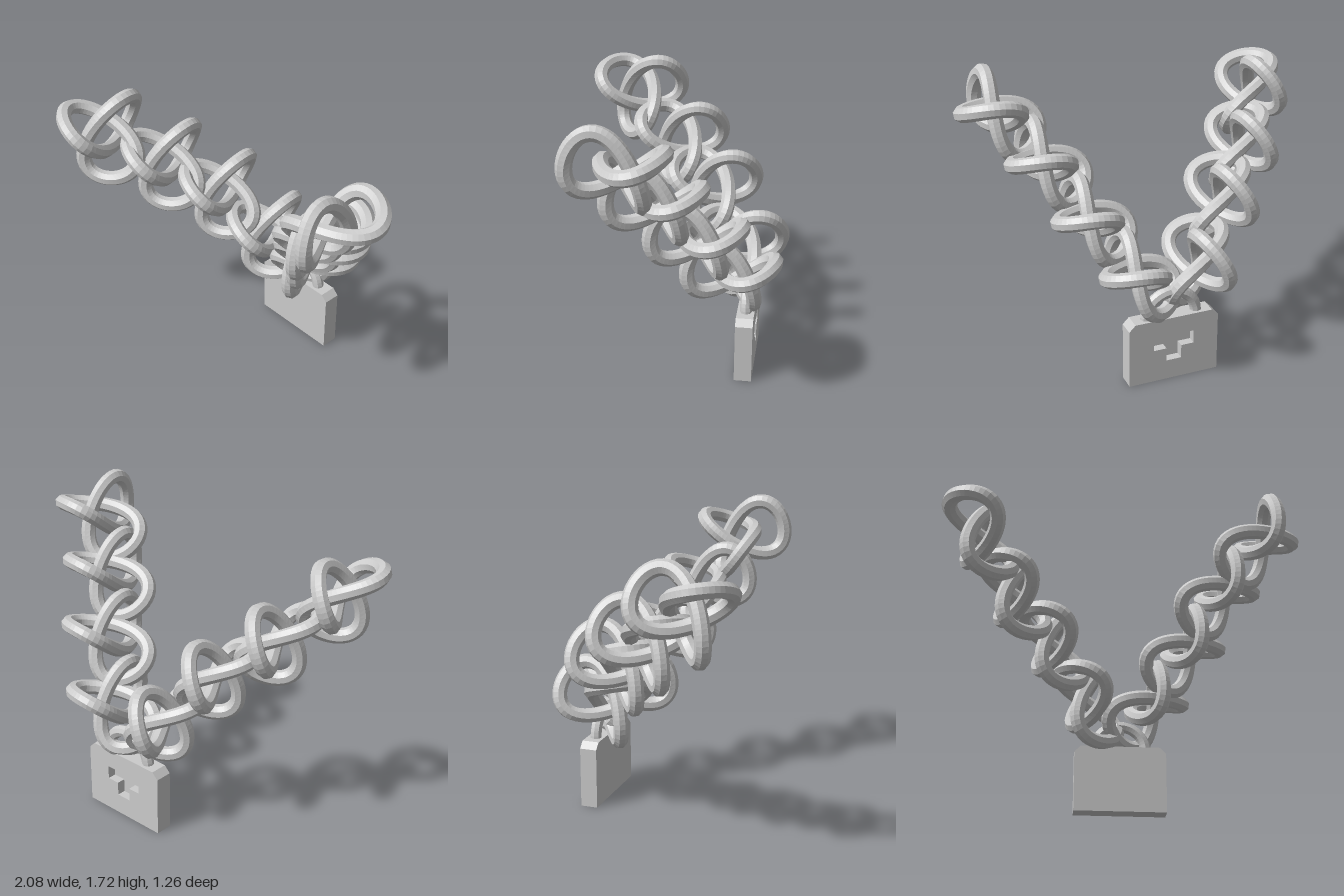
import * as THREE from 'three';

const material = new THREE.MeshStandardMaterial({ color: 0xcccccc, flatShading: true });

// One chain link is a trefoil loop with three narrow, steeply pitched lobes
class LinkCurve extends THREE.Curve {
  getPoint(t, target = new THREE.Vector3()) {
    const u = t * Math.PI * 2;
    return target.set(
      2 * Math.cos(2 * u) + Math.cos(u),
      2 * Math.sin(2 * u) - Math.sin(u),
      1.25 * Math.sin(3 * u),
    ).multiplyScalar(0.089);
  }
}
const linkGeometry = new THREE.TubeGeometry(new LinkCurve(), 110, 0.043, 8, true);

// The link axis and the direction of one lobe set the pose of every link in an arm
function makeArm(name, start, axis, lobe, offsets) {
  const arm = new THREE.Group();
  arm.name = name;
  const z = new THREE.Vector3(...axis).normalize();
  const x = new THREE.Vector3(...lobe);
  x.addScaledVector(z, -x.dot(z)).normalize();
  const y = new THREE.Vector3().crossVectors(z, x);
  const pose = new THREE.Matrix4().makeBasis(x, y, z);
  offsets.forEach((offset, i) => {
    const link = new THREE.Mesh(linkGeometry, material);
    link.name = `chainLink${i + 1}`;
    link.quaternion.setFromRotationMatrix(pose);
    link.position.set(...start).add(new THREE.Vector3(...offset));
    arm.add(link);
  });
  return arm;
}

// Lock outline with its two top corners cut off
function lockShape() {
  const w = 0.268, h = 0.39, c = 0.037;
  return new THREE.Shape([
    [-w, 0], [w, 0], [w, h - c], [w - c, h], [-w + c, h], [-w, h - c],
  ].map(([x, y]) => new THREE.Vector2(x, y)));
}

function plate(name, shape, z) {
  const geometry = new THREE.ExtrudeGeometry(shape, { depth: 0.05, bevelEnabled: false });
  const mesh = new THREE.Mesh(geometry, material);
  mesh.name = name;
  mesh.position.z = z;
  return mesh;
}

function makePadlock() {
  const lock = new THREE.Group();
  lock.name = 'padlock';
  lock.position.set(0.012, 0, -0.422);

  // Solid front half, and a back half with the keyhole recess
  lock.add(plate('lockFront', lockShape(), 0));
  const back = lockShape();
  back.holes.push(new THREE.Path([
    [-0.12, 0.28], [-0.12, 0.2], [-0.045, 0.2], [-0.045, 0.12],
    [0.045, 0.12], [0.045, 0.2], [0.12, 0.2], [0.12, 0.28],
  ].map(([x, y]) => new THREE.Vector2(x, y))));
  lock.add(plate('lockBackWithKeyhole', back, -0.05));

  // Arched shackle
  const shackle = new THREE.Mesh(new THREE.TorusGeometry(0.15, 0.034, 8, 24, Math.PI), material);
  shackle.name = 'shackle';
  shackle.position.y = 0.38;
  lock.add(shackle);
  return lock;
}

export function createModel() {
  const model = new THREE.Group();
  model.name = 'chainWithPadlock';
  model.add(
    makeArm('leftChain', [0.775, 1.475, 0.175], [-0.7, 0.71, -0.07], [0.48, 0.39, -0.83],
      [[0, 0, 0], [-0.215, -0.265, -0.155], [-0.4, -0.55, -0.35], [-0.605, -0.845, -0.52]]),
    makeArm('rightChain', [-0.825, 1.35, 0.35], [0.925, 0.37, 0.06], [-0.26, 0.51, 0.82],
      [[0, 0, 0], [0.195, -0.22, -0.28], [0.425, -0.425, -0.51], [0.64, -0.705, -0.69]]),
    makePadlock(),
  );
  return model;
}
